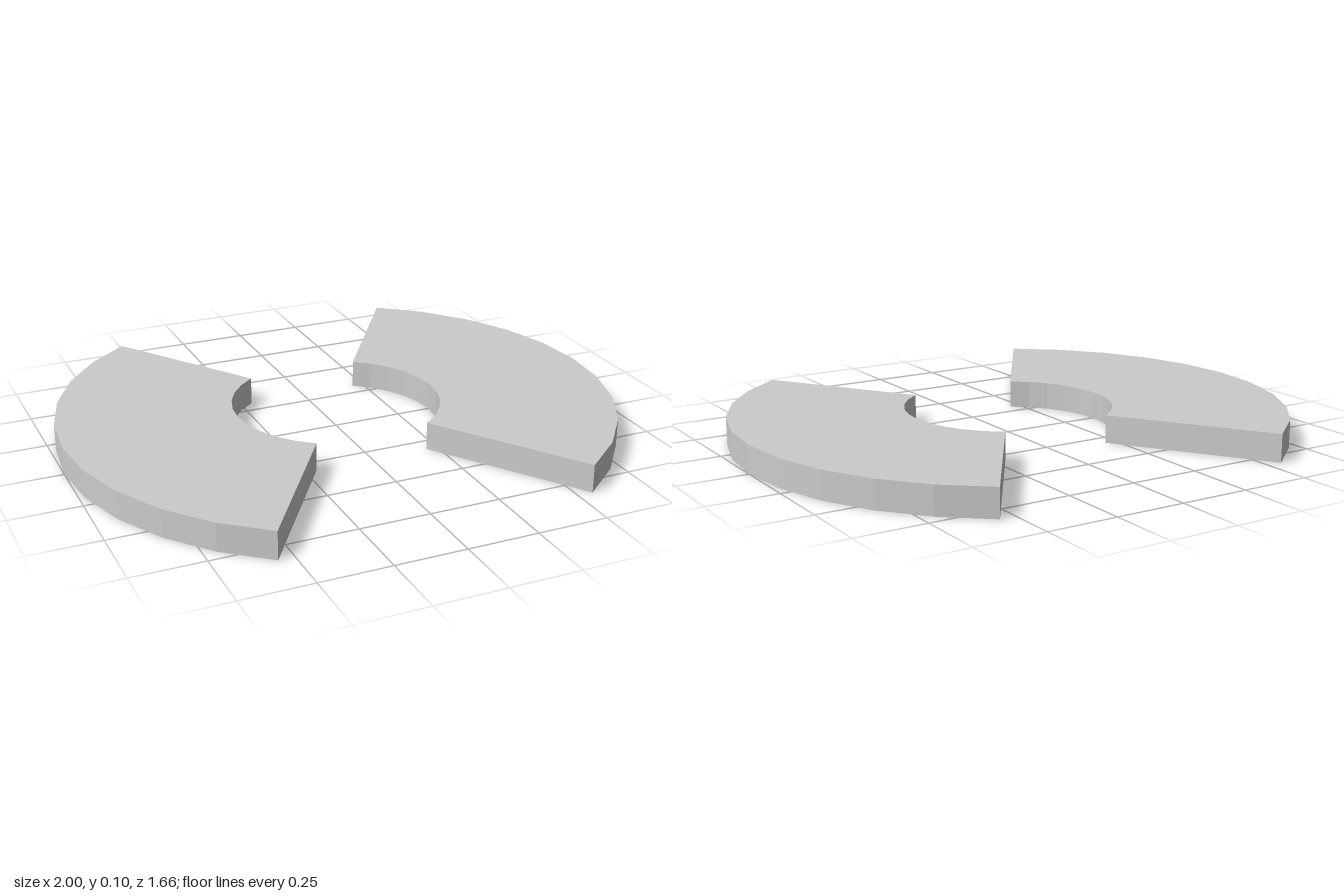
import * as THREE from 'three';

const OUTER = 1, INNER = 0.375, HEIGHT = 0.1;
const HALF_ANGLE = THREE.MathUtils.degToRad(56.25);

// Flat ring sector centred on the direction `middle`, ten facets per arc
function ringSector(middle) {
  const shape = new THREE.Shape();
  shape.absarc(0, 0, OUTER, middle - HALF_ANGLE, middle + HALF_ANGLE, false);
  shape.absarc(0, 0, INNER, middle + HALF_ANGLE, middle - HALF_ANGLE, true);
  shape.closePath();
  const geometry = new THREE.ExtrudeGeometry(shape, { depth: HEIGHT, bevelEnabled: false, curveSegments: 5 });
  return geometry.rotateX(-Math.PI / 2);
}

export function createModel() {
  const model = new THREE.Group();
  model.name = 'splitRing';
  const material = new THREE.MeshStandardMaterial({ color: 0xcccccc, flatShading: true });

  // Two facing sectors, left (+x) and right (-x)
  for (const [name, middle] of [['leftSector', 0], ['rightSector', Math.PI]]) {
    const sector = new THREE.Mesh(ringSector(middle), material);
    sector.name = name;
    model.add(sector);
  }
  return model;
}
